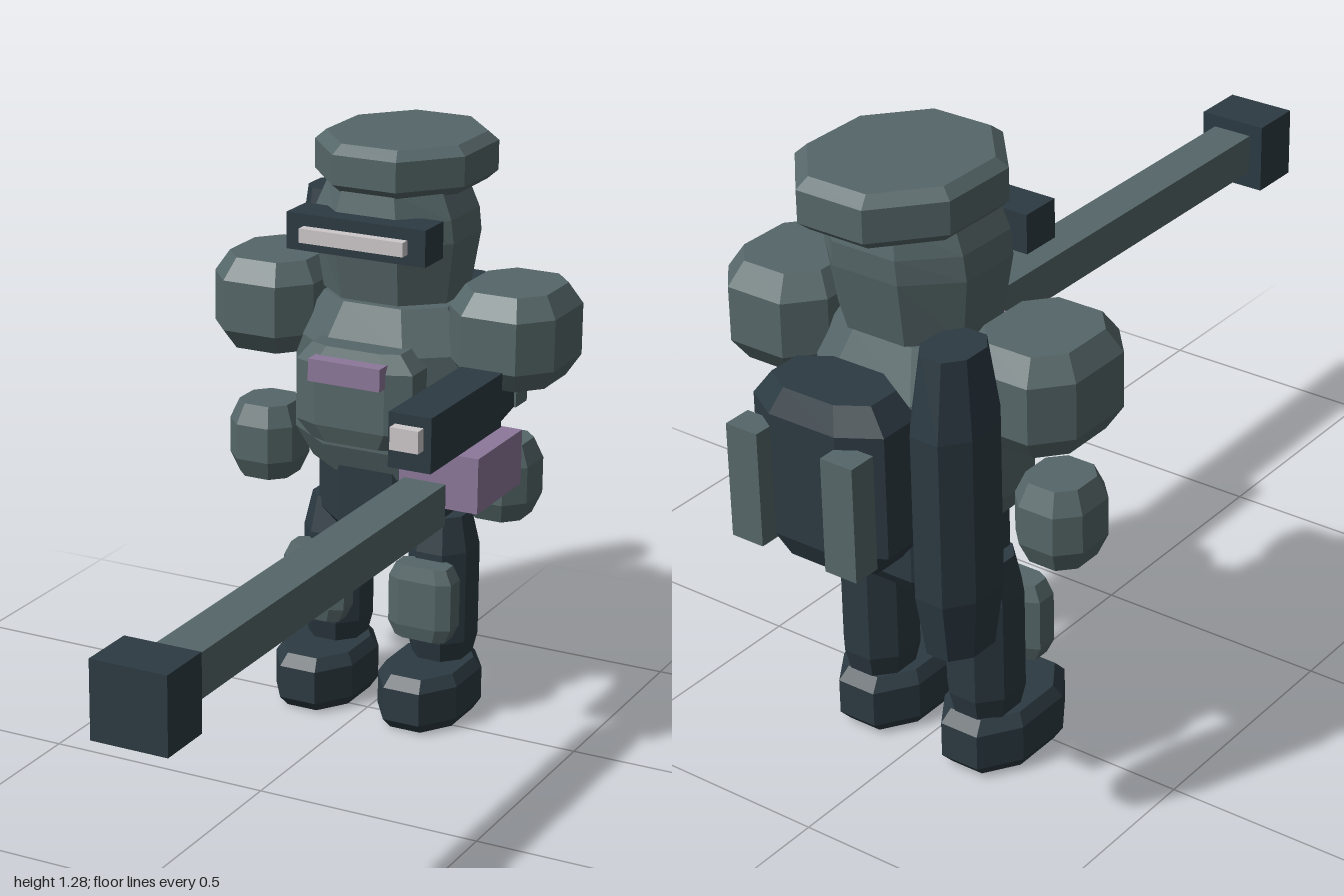
import * as THREE from 'three';

export function createModel() {
  const model = new THREE.Group();
  const paint = (name, color) => {
    const m = new THREE.MeshStandardMaterial({ color, flatShading: true });
    m.name = name;
    return m;
  };
  const plate = paint('grey green plate', 0x566769);
  const dark = paint('dark slate', 0x2c3a42);
  const purple = paint('muted purple', 0x8d789b);
  const pale = paint('pale light', 0xcdc8ca);

  function add(name, geometry, material) {
    const mesh = new THREE.Mesh(geometry, material);
    mesh.name = name;
    model.add(mesh);
    return mesh;
  }

  // Eight-sided block: rings of [y, half width, half depth] around (x, z)
  function block(name, material, x, z, rings, flat = 0.5) {
    const corners = [[1, -flat], [1, flat], [flat, 1], [-flat, 1], [-1, flat], [-1, -flat], [-flat, -1], [flat, -1]];
    const pos = [], idx = [];
    for (const [y, hx, hz] of rings)
      for (const [cx, cz] of corners) pos.push(x + cx * hx, y, z + cz * hz);
    const last = (rings.length - 1) * 8;
    for (let r = 0; r < last; r += 8) {
      for (let i = 0; i < 8; i++) {
        const a = r + i, b = r + (i + 1) % 8;
        idx.push(a, a + 8, b + 8, a, b + 8, b);
      }
    }
    for (let i = 1; i < 7; i++) {
      idx.push(0, i, i + 1);
      idx.push(last, last + i + 1, last + i);
    }
    const g = new THREE.BufferGeometry();
    g.setAttribute('position', new THREE.Float32BufferAttribute(pos, 3));
    g.setIndex(idx);
    g.computeVertexNormals();
    return add(name, g, material);
  }

  // Block with the same bevel at both ends
  function bevelled(name, material, x, z, hx, hz, y0, y1, bevel, s, flat) {
    return block(name, material, x, z, [
      [y0, hx * s, hz * s], [y0 + bevel, hx, hz], [y1 - bevel, hx, hz], [y1, hx * s, hz * s],
    ], flat);
  }

  // Box given by its limits
  function box(name, material, x0, x1, y0, y1, z0, z1) {
    const mesh = add(name, new THREE.BoxGeometry(x1 - x0, y1 - y0, z1 - z0), material);
    mesh.position.set((x0 + x1) / 2, (y0 + y1) / 2, (z0 + z1) / 2);
  }

  // Head
  bevelled('hat', plate, 0, -0.655, 0.177, 0.205, 1.18, 1.285, 0.02, 0.88, 0.42);
  block('helmet', plate, 0, -0.615, [
    [0.945, 0.147, 0.13], [1.08, 0.166, 0.155], [1.13, 0.16, 0.157], [1.19, 0.135, 0.145],
  ], 0.45);
  box('visor', dark, -0.163, 0.163, 1.06, 1.14, -0.5, -0.413);
  box('visorSlit', pale, -0.122, 0.122, 1.083, 1.114, -0.42, -0.39);

  // Body
  block('torso', plate, 0, -0.612, [
    [0.555, 0.168, 0.13], [0.62, 0.205, 0.157], [0.84, 0.205, 0.157], [0.935, 0.148, 0.115],
  ], 0.46);
  bevelled('chestPlate', plate, 0, -0.45, 0.138, 0.058, 0.645, 0.86, 0.04, 0.76, 0.6);
  box('chestBadge', purple, -0.085, 0.085, 0.79, 0.84, -0.42, -0.365);
  block('waist', dark, 0, -0.61, [
    [0.41, 0.125, 0.115], [0.44, 0.153, 0.135], [0.57, 0.153, 0.135],
  ], 0.42);

  // Arms and legs
  for (const side of [-1, 1]) {
    const label = side > 0 ? 'left' : 'right';
    bevelled(label + 'Shoulder', plate, side * 0.285, -0.612, 0.122, 0.142, 0.79, 0.995, 0.046, 0.77, 0.52);
    bevelled(label + 'Hand', plate, side * 0.283, -0.563, 0.078, 0.083, 0.495, 0.665, 0.045, 0.76);
    block(label + 'Leg', dark, side * 0.13, -0.607, [
      [0.1, 0.055, 0.06], [0.17, 0.07, 0.077], [0.38, 0.07, 0.077], [0.46, 0.053, 0.06],
    ], 0.45);
    bevelled(label + 'KneePad', plate, side * 0.13, -0.508, 0.075, 0.038, 0.195, 0.365, 0.032, 0.8, 0.6);
    bevelled(label + 'Foot', dark, side * 0.128, -0.55, 0.096, 0.145, 0, 0.125, 0.025, 0.84, 0.45);
    box(label + 'PackRail', plate, side * 0.11 - 0.036, side * 0.11 + 0.036, 0.6, 0.835, -1, -0.94);
  }

  // Back pack and side canister
  bevelled('backPack', dark, 0, -0.868, 0.152, 0.094, 0.56, 0.91, 0.05, 0.76, 0.5);
  block('canister', dark, -0.293, -0.888, [
    [0.475, 0.053, 0.07], [0.6, 0.068, 0.09], [0.93, 0.068, 0.09], [1.08, 0.051, 0.065],
  ], 0.45);

  // Hand cannon
  box('cannonReceiver', dark, 0.235, 0.331, 0.73, 0.848, -0.445, -0.105);
  box('cannonSight', pale, 0.25, 0.314, 0.777, 0.825, -0.11, -0.08);
  box('cannonGrip', purple, 0.193, 0.372, 0.606, 0.726, -0.462, -0.245);
  box('cannonBarrel', plate, 0.236, 0.33, 0.595, 0.685, -0.18, 0.89);
  box('cannonMuzzle', dark, 0.204, 0.362, 0.557, 0.713, 0.88, 1);

  return model;
}
